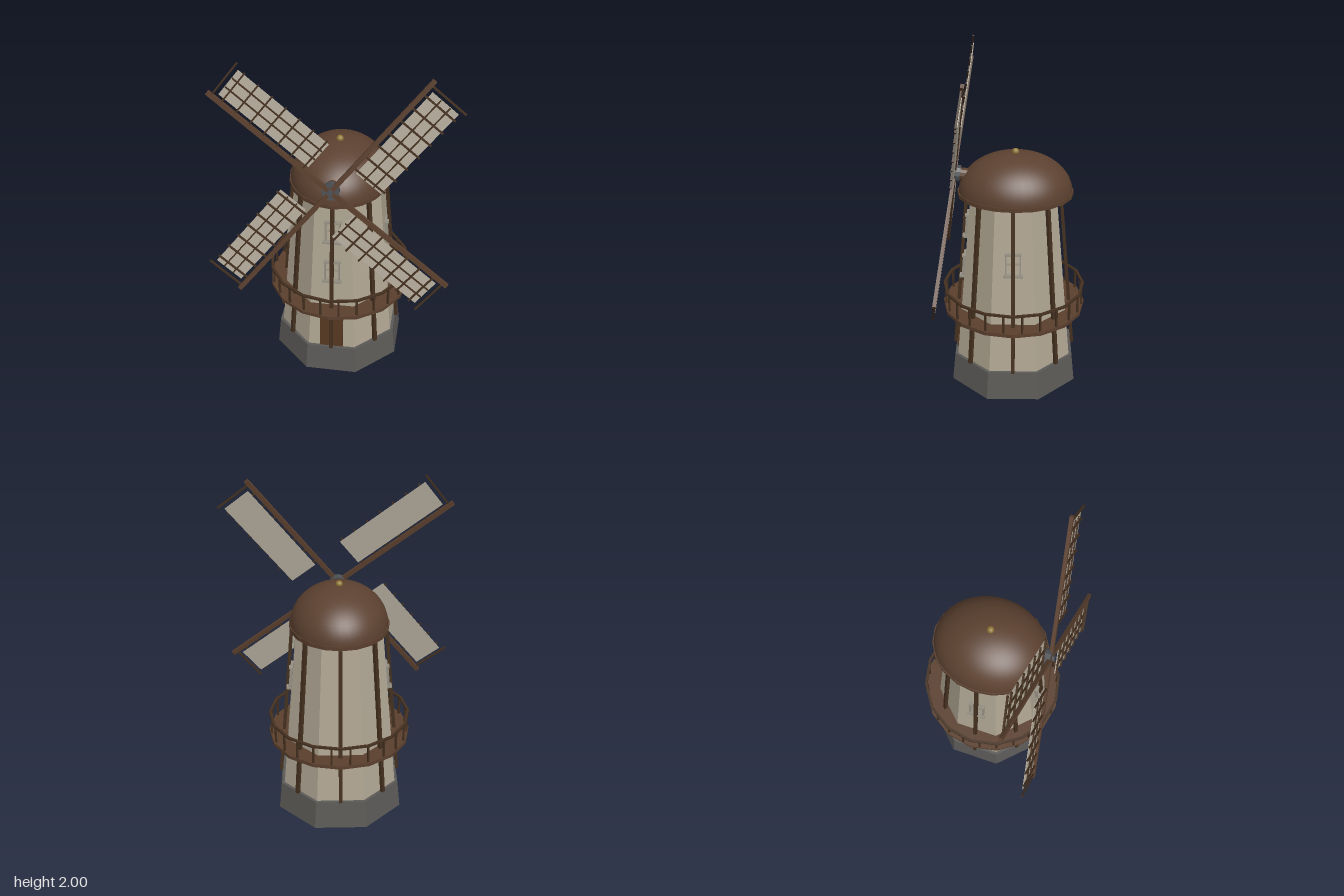
import * as THREE from 'three';

const mat = (name, color, flat = true) => {
  const m = new THREE.MeshStandardMaterial({ color, flatShading: flat });
  m.name = name;
  return m;
};

export function createModel() {
  const wall = mat('plaster', 0xb0a693);
  const stone = mat('stone', 0x5c5a57);
  const timber = mat('darkTimber', 0x44301f);
  const wood = mat('wood', 0x5a3f2d);
  const roof = mat('roof', 0x5c4130, false);
  const doorWood = mat('doorWood', 0x53371f);
  const trim = mat('windowTrim', 0x969083);
  const cloth = mat('sailCloth', 0xb3ab9c);
  const iron = mat('iron', 0x4c4f52);
  const brass = mat('brass', 0x8f7636, false);

  const root = new THREE.Group();
  root.name = 'windmill';
  const body = new THREE.Group();
  body.name = 'body';
  body.position.z = -0.01;
  root.add(body);

  const add = (parent, name, geo, m, x = 0, y = 0, z = 0) => {
    const mesh = new THREE.Mesh(geo, m);
    mesh.name = name;
    mesh.position.set(x, y, z);
    parent.add(mesh);
    return mesh;
  };
  const box = (parent, name, m, w, h, d, x, y, z) =>
    add(parent, name, new THREE.BoxGeometry(w, h, d), m, x, y, z);

  // Octagonal frustum with a flat side to the front, sized by its apothems
  const octagon = (top, bottom, h) => {
    const k = 1 / Math.cos(Math.PI / 8);
    return new THREE.CylinderGeometry(top * k, bottom * k, h, 8).rotateY(Math.PI / 8);
  };

  // Stone base and tapering tower
  add(body, 'base', octagon(0.357, 0.375, 0.175), stone, 0, 0.0875);
  const y0 = 0.175, y1 = 1.195, r0 = 0.34, r1 = 0.25;
  add(body, 'tower', octagon(r1, r0, y1 - y0), wall, 0, (y0 + y1) / 2);
  const slope = Math.atan2(r0 - r1, y1 - y0);

  // Group lying on one tower wall, with its z axis pointing outwards
  const onWall = (name, angle, y) => {
    const turn = new THREE.Group();
    turn.name = name;
    turn.rotation.y = angle;
    const face = new THREE.Group();
    face.position.set(0, y, r0 - (r0 - r1) * (y - y0) / (y1 - y0));
    face.rotation.x = -slope;
    turn.add(face);
    body.add(turn);
    return face;
  };

  // Upright beams standing just off each wall
  for (let i = 0; i < 8; i++) {
    const face = onWall('towerBeam', i * Math.PI / 4, 0.685);
    box(face, 'beam', timber, 0.022, 1.02, 0.02, 0, 0, 0.025);
  }

  // Door
  const door = onWall('door', 0, 0.315);
  box(door, 'doorPanel', doorWood, 0.14, 0.27, 0.014, 0, 0, 0.005);

  // Windows: open frame with cross bars, lintel and sill
  const windowAt = (angle, y) => {
    const w = onWall('window', angle, y);
    for (const s of [-1, 1]) box(w, 'windowSide', trim, 0.009, 0.125, 0.02, s * 0.041, 0, 0.008);
    box(w, 'windowLintel', trim, 0.096, 0.012, 0.026, 0, 0.064, 0.011);
    box(w, 'windowSill', trim, 0.112, 0.012, 0.032, 0, -0.066, 0.014);
    box(w, 'windowMullion', trim, 0.007, 0.12, 0.012, 0, 0, 0.005);
    box(w, 'windowTransom', trim, 0.08, 0.007, 0.012, 0, 0.005, 0.005);
  };
  windowAt(0, 0.725);
  windowAt(0, 0.99);
  windowAt(Math.PI / 2, 0.855);
  windowAt(-Math.PI / 2, 0.855);

  // Balcony deck, rail and posts
  add(body, 'balconyDeck', new THREE.CylinderGeometry(0.43, 0.43, 0.022, 16), wood, 0, 0.469);
  const rail = [[0.414, 0], [0.43, 0], [0.43, 0.012], [0.414, 0.012], [0.414, 0]]
    .map(([x, y]) => new THREE.Vector2(x, y));
  add(body, 'balconyRail', new THREE.LatheGeometry(rail, 16), timber, 0, 0.588);
  for (let i = 0; i < 24; i++) {
    const a = (i + 0.5) * Math.PI / 12;
    const post = box(body, 'railPost', timber, 0.011, 0.11, 0.011,
      0.415 * Math.sin(a), 0.535, 0.415 * Math.cos(a));
    post.rotation.y = a;
  }

  // Oval domed cap with rim and finial
  const cap = new THREE.Group();
  cap.name = 'cap';
  cap.position.set(0, 1.185, -0.01);
  body.add(cap);
  const dome = new THREE.SphereGeometry(1, 40, 16, 0, Math.PI * 2, 0, Math.PI / 2);
  add(cap, 'dome', dome.scale(0.285, 0.235, 0.332), roof, 0, 0.018);
  const rim = new THREE.CylinderGeometry(1, 1, 0.024, 20);
  add(cap, 'capRim', rim.scale(0.293, 1, 0.34), wood, 0, 0.012);
  add(cap, 'finial', new THREE.SphereGeometry(0.021, 16, 10), brass, 0, 0.258);

  // Sail wheel, leaning back at the top
  const wheel = new THREE.Group();
  wheel.name = 'sailWheel';
  wheel.position.set(0, 1.31, 0.335);
  wheel.rotation.x = -0.142;
  root.add(wheel);
  const disc = (r, h) => new THREE.CylinderGeometry(r, r, h, 12).rotateX(Math.PI / 2);
  add(wheel, 'axle', disc(0.038, 0.12), wood, 0, 0, -0.085);
  add(wheel, 'hub', disc(0.05, 0.04), iron, 0, 0, -0.014);
  add(wheel, 'hubCap', disc(0.018, 0.02), iron, 0, 0, 0.012);

  for (let i = 0; i < 4; i++) {
    const sail = new THREE.Group();
    sail.name = 'sail';
    sail.rotation.z = THREE.MathUtils.degToRad(52 + 90 * i);
    wheel.add(sail);
    box(sail, 'sailArm', wood, 0.85, 0.026, 0.02, 0.425, 0, 0);
    box(sail, 'sailCloth', cloth, 0.615, 0.178, 0.004, 0.488, -0.121, -0.004);
    // Lattice in front of the cloth
    for (let j = 0; j < 7; j++)
      box(sail, 'sailCrossBar', timber, 0.009, 0.215, 0.01, 0.2 + j * 0.093, -0.115, 0.003);
    for (const v of [0.092, 0.155])
      box(sail, 'sailLongBar', timber, 0.61, 0.007, 0.008, 0.488, -v, 0.002);
    box(sail, 'sailEndBar', timber, 0.01, 0.24, 0.01, 0.822, -0.12, 0.003);
  }
  return root;
}
